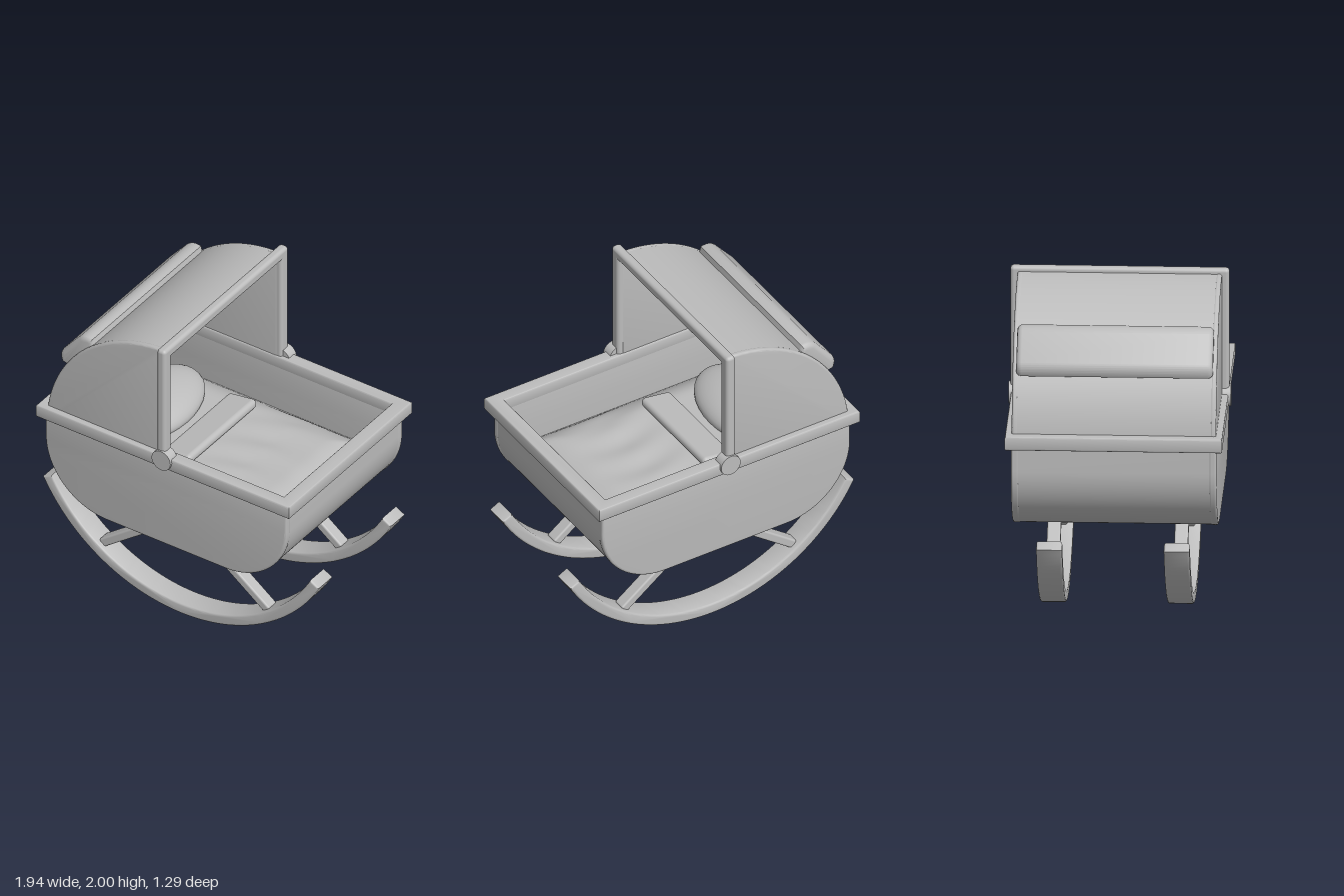
import * as THREE from 'three';
import { toCreasedNormals } from 'three/addons/utils/BufferGeometryUtils.js';
import { RoundedBoxGeometry } from 'three/addons/geometries/RoundedBoxGeometry.js';

const grey = new THREE.MeshStandardMaterial({ color: 0xbcbcbc });
grey.name = 'plain grey';

function add(group, name, geometry, x = 0, y = 0, z = 0) {
  const mesh = new THREE.Mesh(geometry, grey);
  mesh.name = name;
  mesh.position.set(x, y, z);
  group.add(mesh);
  return mesh;
}

// Extrusion along z, centred on z = 0, with small rounded edges inside the outline
function slab(shape, depth, bevel) {
  const geometry = new THREE.ExtrudeGeometry(shape, {
    depth: depth - 2 * bevel, bevelEnabled: bevel > 0, bevelThickness: bevel,
    bevelSize: bevel, bevelOffset: -bevel, bevelSegments: 3, curveSegments: 32,
  });
  geometry.translate(0, 0, bevel - depth / 2);
  return toCreasedNormals(geometry, 0.6);
}

function arc(cx, cy, r, from, to, steps = 32) {
  return Array.from({ length: steps + 1 }, (_, i) => {
    const a = from + (to - from) * i / steps;
    return new THREE.Vector2(cx + r * Math.cos(a), cy + r * Math.sin(a));
  });
}

const band = (outer, inner) => new THREE.Shape([...outer, ...inner.reverse()]);

// U-shaped side outline of the cradle body, moved inwards by t
function bodyOutline(t) {
  const r = 0.43 - t;
  return [
    new THREE.Vector2(-0.845 + t, 1.2),
    ...arc(-0.415, 1.02, r, Math.PI, Math.PI * 1.5),
    ...arc(0.415, 1.02, r, Math.PI * 1.5, Math.PI * 2),
    new THREE.Vector2(0.845 - t, 1.2),
  ];
}

function makeBody() {
  const body = new THREE.Group();
  body.name = 'body';
  add(body, 'bodyShell', slab(band(bodyOutline(0), bodyOutline(0.045)), 1.17, 0));
  const side = slab(new THREE.Shape(bodyOutline(-0.003)), 0.047, 0.015);
  for (const s of [1, -1]) add(body, 'bodySide', side, 0, 0, s * 0.5735);

  // Rectangular rim around the top
  const rect = (w, d) => [[-w, -d], [w, -d], [w, d], [-w, d]].map(p => new THREE.Vector2(...p));
  const rimShape = new THREE.Shape(rect(0.89, 0.63));
  rimShape.holes.push(new THREE.Path(rect(0.8, 0.55)));
  const rim = slab(rimShape, 0.085, 0.01);
  rim.rotateX(-Math.PI / 2);
  add(body, 'rim', rim, 0, 1.2, 0);
  return body;
}

function makeHood() {
  const hood = new THREE.Group();
  hood.name = 'hood';
  const cy = 1.13, r = 0.84, start = Math.PI / 2 + 0.01;
  add(hood, 'hoodRoof', slab(band(arc(0, cy, r, start, Math.PI, 48),
    arc(0, cy, r - 0.035, start, Math.PI, 48)), 1.16, 0));
  const panel = slab(new THREE.Shape([...arc(0, cy, r + 0.002, start, Math.PI, 48),
    new THREE.Vector2(-0.01, cy)]), 0.035, 0.014);
  for (const s of [1, -1]) add(hood, 'hoodSide', panel, 0, 0, s * 0.5755);

  // Rolled pad lying across the roof
  const pad = new THREE.Shape();
  pad.moveTo(-0.68, 1.55);
  pad.lineTo(-0.755, 1.57);
  pad.quadraticCurveTo(-0.78, 1.62, -0.75, 1.66);
  pad.lineTo(-0.63, 1.8);
  pad.quadraticCurveTo(-0.595, 1.83, -0.54, 1.815);
  pad.lineTo(-0.52, 1.74);
  pad.closePath();
  add(hood, 'hoodPad', slab(pad, 1.14, 0.03));

  // Front frame of the hood with its hinges
  add(hood, 'frameTop', new RoundedBoxGeometry(0.06, 0.07, 1.27, 4, 0.022), -0.01, 1.965, 0);
  for (const s of [1, -1]) {
    add(hood, 'framePost', new RoundedBoxGeometry(0.06, 0.8, 0.075, 4, 0.022), -0.01, 1.6, s * 0.5975);
    const hinge = new THREE.CylinderGeometry(0.066, 0.066, 0.07, 32);
    hinge.rotateX(Math.PI / 2);
    add(hood, 'hinge', hinge, 0, 1.22, s * 0.61);
  }
  return hood;
}

function makeBedding() {
  const bedding = new THREE.Group();
  bedding.name = 'bedding';
  // Blanket: domed surface with soft creases
  const blanket = new THREE.PlaneGeometry(1.6, 1.1, 64, 48);
  blanket.rotateX(-Math.PI / 2);
  const p = blanket.attributes.position;
  for (let i = 0; i < p.count; i++) {
    const x = p.getX(i), z = p.getZ(i);
    const edge = Math.min((0.8 - Math.abs(x)) / 0.3, (0.55 - Math.abs(z)) / 0.25, 1);
    const dome = Math.sin(edge * Math.PI / 2);
    const crease = Math.sin(z * 26 + 2 * Math.sin(x * 5)) * Math.max(0, 1 - Math.abs(x - 0.25) / 0.35);
    p.setY(i, 0.87 + 0.13 * dome + 0.008 * crease * dome);
  }
  blanket.computeVertexNormals();
  add(bedding, 'blanket', blanket);
  // Turned-down fold and pillow under the hood
  const fold = add(bedding, 'blanketFold', new RoundedBoxGeometry(0.2, 0.06, 0.7, 4, 0.028), -0.1, 1.02, 0);
  fold.rotation.z = 0.15;
  const pillow = new THREE.SphereGeometry(1, 32, 20);
  pillow.scale(0.22, 0.1, 0.38);
  const tilted = add(bedding, 'pillow', pillow, -0.47, 1.05, 0);
  tilted.rotation.z = -0.2;
  return bedding;
}

function makeRocker(z) {
  const rocker = new THREE.Group();
  rocker.name = 'rocker';
  const half = 1.079, mid = Math.PI * 1.5;
  add(rocker, 'runner', slab(band(arc(0, 1.1, 1.1, mid - half, mid + half, 64),
    arc(0, 1.1, 1.03, mid - half, mid + half, 64)), 0.15, 0.012));
  // Slanted struts between runner and body
  for (const s of [1, -1]) {
    const strut = add(rocker, 'strut', new RoundedBoxGeometry(0.62, 0.055, 0.08, 3, 0.012), s * 0.335, 0.425, 0);
    strut.rotation.z = -s * 0.64;
  }
  rocker.position.z = z;
  return rocker;
}

export function createModel() {
  const cradle = new THREE.Group();
  cradle.name = 'rockingCradle';
  cradle.add(makeBody(), makeHood(), makeBedding(), makeRocker(0.37), makeRocker(-0.37));
  return cradle;
}
